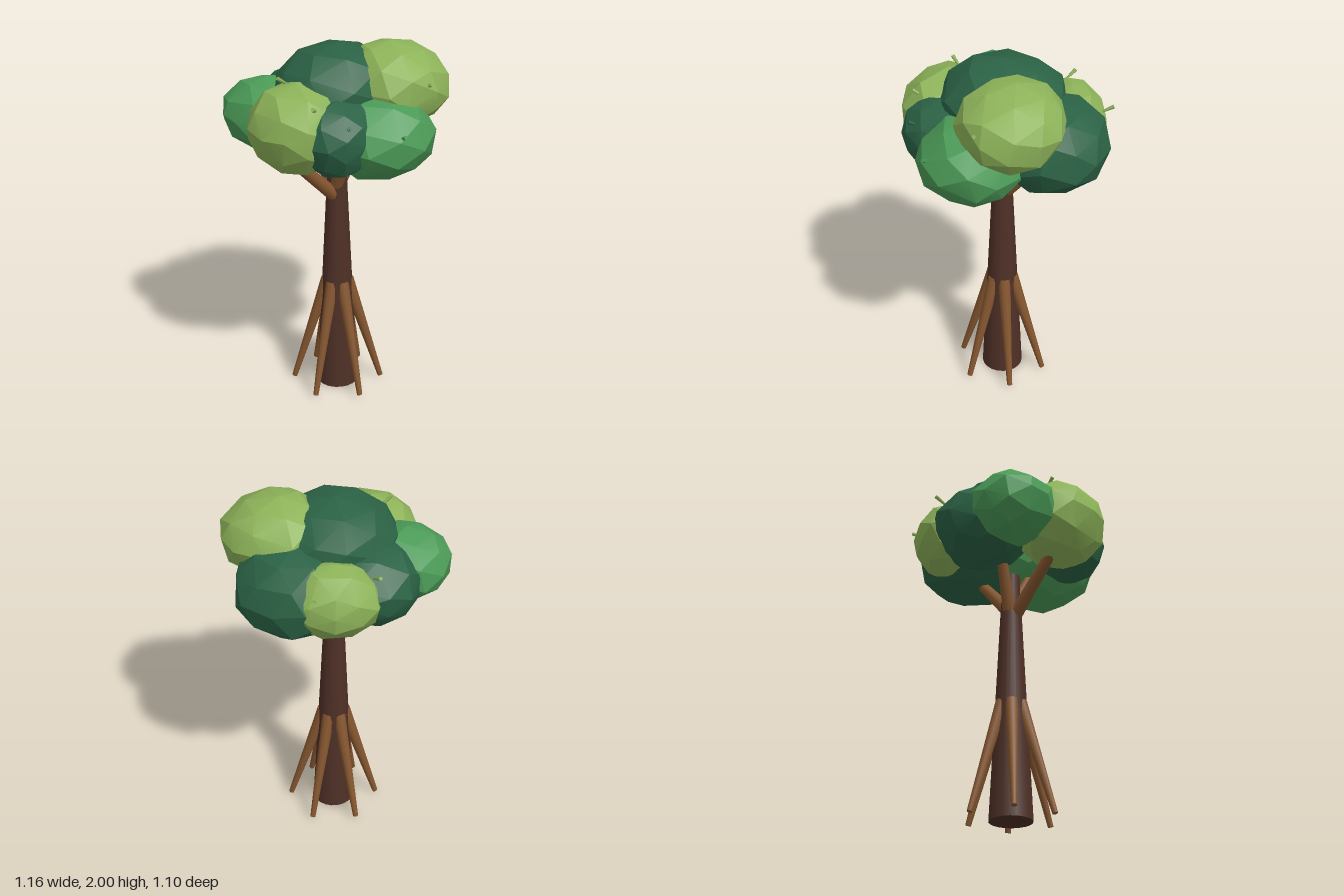
import * as THREE from 'three';
import { mergeVertices, toCreasedNormals } from 'three/addons/utils/BufferGeometryUtils.js';

const mat = (color) => new THREE.MeshStandardMaterial({ color });
const UP = new THREE.Vector3(0, 1, 0);
const TRUNK_X = -0.011, TRUNK_Z = -0.034;

// Small seeded generator, -1 to 1
let seed = 7;
const rand = () => {
  seed = (seed * 16807) % 2147483647;
  return (seed / 2147483647) * 2 - 1;
};

// Irregular faceted ball with softened edges; its six axis tips stay fixed.
// taper draws the underside in towards a point, lean shifts the top along z.
function clumpGeometry(radii, taper, lean) {
  const ball = new THREE.IcosahedronGeometry(1, 1);
  ball.deleteAttribute('normal');
  ball.deleteAttribute('uv');
  const geometry = mergeVertices(ball, 1e-3);
  const pos = geometry.attributes.position;
  const v = new THREE.Vector3();
  for (let i = 0; i < pos.count; i++) {
    v.fromBufferAttribute(pos, i);
    if (Math.max(Math.abs(v.x), Math.abs(v.y), Math.abs(v.z)) < 0.99) {
      v.x += 0.08 * rand();
      v.y += 0.08 * rand();
      v.z += 0.08 * rand();
      v.normalize();
      const under = v.y < 0 ? 4 * v.y * v.y * (1 - v.y * v.y) : 0;
      v.multiplyScalar(1.01 + 0.03 * rand() - taper * under);
    }
    pos.setXYZ(i, v.x, v.y, v.z + lean * v.y);
  }
  geometry.scale(...radii);
  return toCreasedNormals(geometry, 0.36);
}

export function createModel() {
  const tree = new THREE.Group();
  tree.name = 'tree';
  const bark = mat(0x4e3026), wood = mat(0x85562f);
  const dark = mat(0x2b6245), mid = mat(0x4b9a57), light = mat(0x8db359);
  seed = 7;

  const add = (parent, name, geometry, material) => {
    const mesh = new THREE.Mesh(geometry, material);
    mesh.name = name;
    parent.add(mesh);
    return mesh;
  };
  const group = (name) => {
    const g = new THREE.Group();
    g.name = name;
    tree.add(g);
    return g;
  };
  // Tapered limb running from point a to point b
  const limb = (parent, name, a, b, ra, rb, material, sides = 10) => {
    const from = new THREE.Vector3(...a), to = new THREE.Vector3(...b);
    const dir = to.clone().sub(from);
    const mesh = add(parent, name, new THREE.CylinderGeometry(rb, ra, dir.length(), sides), material);
    mesh.position.copy(from).add(to).multiplyScalar(0.5);
    mesh.quaternion.setFromUnitVectors(UP, dir.normalize());
  };

  // Trunk
  limb(tree, 'trunk', [TRUNK_X, 0, TRUNK_Z], [TRUNK_X, 1.4, TRUNK_Z], 0.115, 0.047, bark, 20);

  // Six splayed roots
  const roots = group('roots');
  for (let i = 0; i < 6; i++) {
    const a = THREE.MathUtils.degToRad(47 + 60 * i);
    const at = (r, y) => [TRUNK_X + r * Math.cos(a), y, TRUNK_Z + r * Math.sin(a)];
    limb(roots, 'root', at(0.055, 0.64), at(0.246, 0.012), 0.036, 0.015, wood);
  }

  // Branches reaching into the crown
  const branches = group('branches');
  [
    [[-0.03, 1.15, -0.03], [-0.34, 1.45, -0.07]],
    [[0.0, 1.19, -0.04], [0.2, 1.42, -0.05]],
    [[-0.02, 1.18, -0.06], [-0.05, 1.45, -0.16]],
    [[-0.03, 1.22, -0.02], [-0.06, 1.45, 0.09]],
  ].forEach(([a, b]) => limb(branches, 'branch', a, b, 0.038, 0.029, wood));

  // Faceted leaf clumps: centre, radii, colour, turn, taper, lean
  const crown = group('crown');
  [
    [[-0.01, 1.75, -0.04], [0.345, 0.24, 0.325], dark],
    [[0.19, 1.79, 0.195], [0.285, 0.21, 0.28], light, 0, 0.02, -0.15],
    [[0.0, 1.55, 0.24], [0.3, 0.24, 0.31], mid, 0, 0.11],
    [[0.285, 1.6, -0.03], [0.305, 0.245, 0.315], dark, 0.38],
    [[0.26, 1.615, -0.265], [0.25, 0.2, 0.19], light, -0.785],
    [[-0.01, 1.6, -0.27], [0.285, 0.215, 0.275], dark],
    [[-0.255, 1.62, -0.305], [0.23, 0.195, 0.245], mid],
    [[-0.33, 1.62, -0.015], [0.245, 0.24, 0.265], light],
    [[-0.23, 1.59, 0.18], [0.23, 0.2, 0.2], dark],
  ].forEach(([centre, radii, material, turn = 0, taper = 0, lean = 0]) => {
    const clump = add(crown, 'leafClump', clumpGeometry(radii, taper, lean), material);
    clump.position.set(...centre);
    clump.rotation.y = turn;
  });

  // Tiny pointed shoots poking out of the clumps
  const shoots = group('shoots');
  [
    [-0.11, 1.63, 0.49, mid], [0.14, 1.82, 0.43, light], [-0.31, 1.69, 0.32, dark],
    [-0.39, 1.77, 0.17, light], [-0.34, 1.85, -0.1, light], [0.45, 1.71, -0.31, light],
    [0.15, 1.76, -0.45, light],
  ].forEach(([x, y, z, material]) => {
    const out = new THREE.Vector3(x, 0.25, z).normalize().multiplyScalar(0.035);
    limb(shoots, 'shoot', [x - out.x, y - out.y, z - out.z], [x + out.x, y + out.y, z + out.z],
      0.006, 0.011, material, 5);
  });

  return tree;
}
